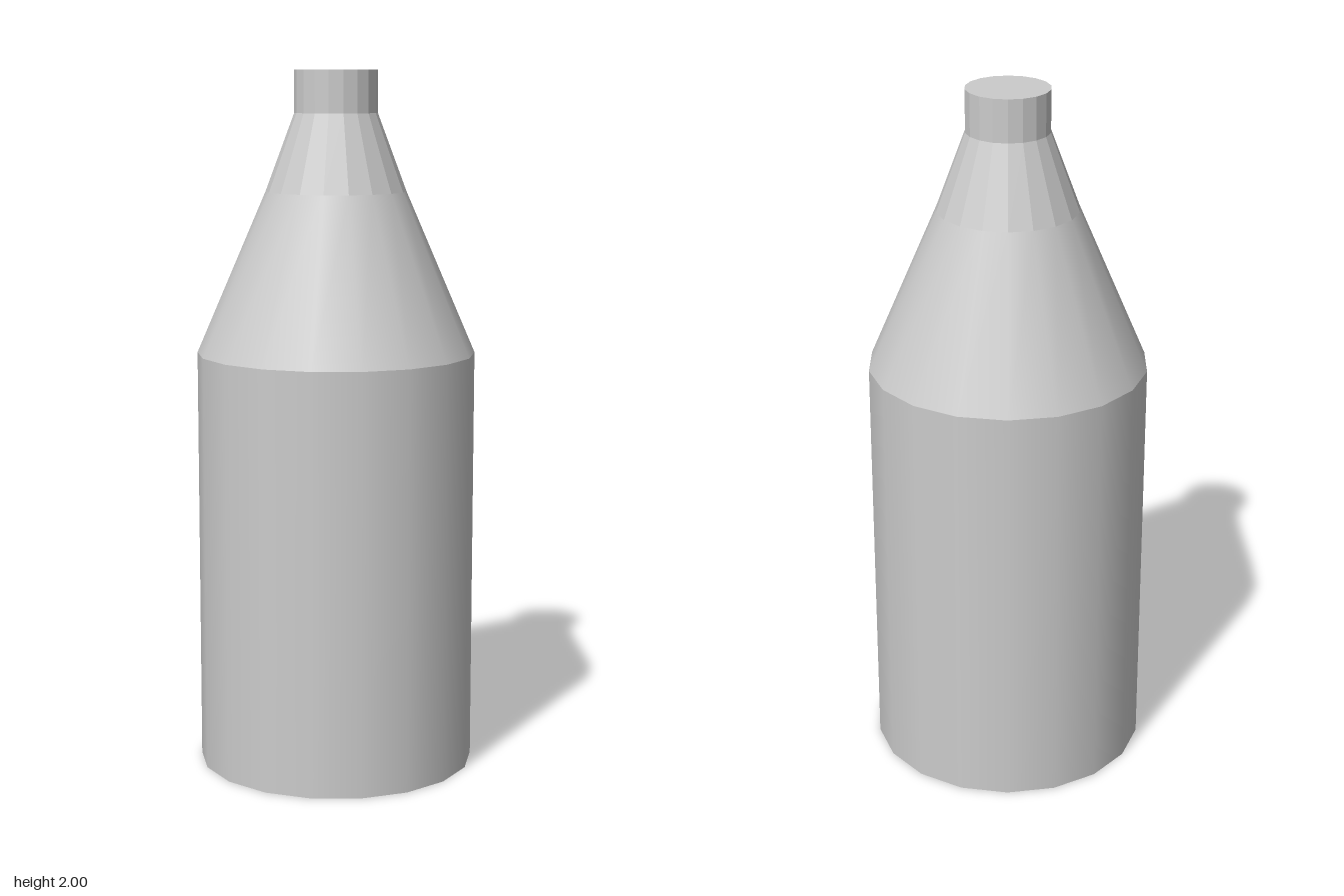
import * as THREE from 'three';

const SIDES = 18;

export function createModel() {
  const group = new THREE.Group();
  group.name = 'bottle';
  const smooth = new THREE.MeshStandardMaterial({ color: 0xcccccc });
  const faceted = new THREE.MeshStandardMaterial({ color: 0xcccccc, flatShading: true });

  const add = (name, geometry, material, y) => {
    const mesh = new THREE.Mesh(geometry, material);
    mesh.name = name;
    mesh.position.y = y;
    group.add(mesh);
  };

  // Open ring of wall between two heights, with a corner on the x axis
  const wall = (name, y0, r0, y1, r1, material) => {
    const geometry = new THREE.CylinderGeometry(r1, r0, y1 - y0, SIDES, 1, true);
    add(name, geometry.rotateY(Math.PI / 2), material, (y0 + y1) / 2);
  };

  // Flat disc closing an end; dir is 1 facing up, -1 facing down
  const cap = (name, y, r, dir) =>
    add(name, new THREE.CircleGeometry(r, SIDES).rotateX(-dir * Math.PI / 2), faceted, y);

  // Smooth body and shoulder
  cap('base', 0, 0.398, -1);
  wall('body', 0, 0.398, 1.2, 0.398, smooth);
  wall('shoulder', 1.2, 0.398, 1.66, 0.2, smooth);

  // Faceted neck and mouth
  wall('neck', 1.66, 0.2, 1.88, 0.118, faceted);
  wall('mouth', 1.88, 0.118, 2, 0.118, faceted);
  cap('mouthTop', 2, 0.118, 1);

  return group;
}
